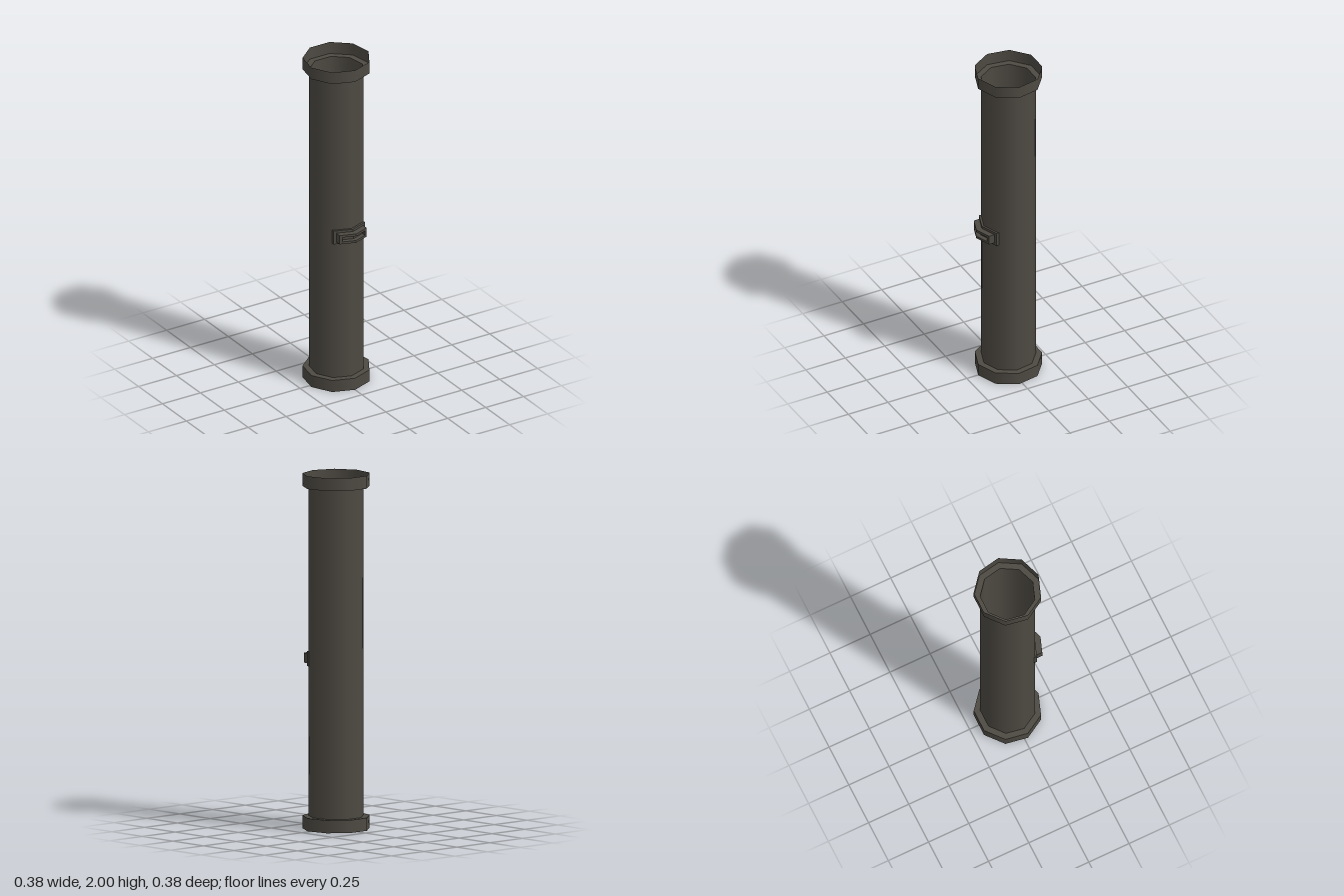
import * as THREE from 'three';

const SIDES = 9, CENTER_Z = -0.013;
const TUBE_R = 0.155, COLLAR_R = 0.191, COLLAR_H = 0.072;
const SLOPE = Math.tan(Math.PI / 9);

export function createModel() {
  const group = new THREE.Group();
  const metal = new THREE.MeshStandardMaterial({ color: 0x4e4a43, side: THREE.DoubleSide });
  metal.name = 'dark grey metal';

  const add = (name, geometry, y = 0, z = 0) => {
    const mesh = new THREE.Mesh(geometry, metal);
    mesh.name = name;
    mesh.position.set(0, y, z);
    group.add(mesh);
  };

  // Open nine-sided wall with smooth normals and a corner at the front
  const wall = (r, h) => new THREE.CylinderGeometry(r, r, h, SIDES, 1, true);

  add('tube', wall(TUBE_R, 2 - 2 * COLLAR_H), 1, CENTER_Z);

  // Collars: a flange stepping out from the tube and an open rim
  for (const [name, rimY, flangeY, turn] of [
    ['bottom', COLLAR_H / 2, COLLAR_H, 1],
    ['top', 2 - COLLAR_H / 2, 2 - COLLAR_H, -1],
  ]) {
    add(name + 'Rim', wall(COLLAR_R, COLLAR_H), rimY, CENTER_Z);
    const flange = new THREE.RingGeometry(TUBE_R, COLLAR_R, SIDES, 1, -turn * Math.PI / 2);
    flange.rotateX(-turn * Math.PI / 2);
    add(name + 'Flange', flange, flangeY, CENTER_Z);
  }

  // Bar bent around the front corner; zBack and zFront are its depths at x = 0
  const bentBar = (name, xs, y0, y1, zBack, zFront) => {
    const edge = (z) => xs.map((x) => new THREE.Vector2(x, -(z - Math.abs(x) * SLOPE)));
    const shape = new THREE.Shape([...edge(zFront), ...edge(zBack).reverse()]);
    const geometry = new THREE.ExtrudeGeometry(shape, { depth: y1 - y0, bevelEnabled: false });
    geometry.rotateX(-Math.PI / 2);
    add(name, geometry, y0);
  };

  // Handle plate, recessed panel and the raised frame around it
  bentBar('handlePlate', [-0.103, 0, 0.103], 0.912, 0.995, 0.135, 0.155);
  bentBar('handlePanel', [-0.074, 0, 0.074], 0.94, 0.967, 0.15, 0.163);
  bentBar('handleLowerBar', [-0.089, 0, 0.089], 0.926, 0.94, 0.15, 0.19);
  bentBar('handleUpperBar', [-0.089, 0, 0.089], 0.967, 0.981, 0.15, 0.19);
  bentBar('handleRightEnd', [-0.089, -0.074], 0.94, 0.967, 0.15, 0.19);
  bentBar('handleLeftEnd', [0.074, 0.089], 0.94, 0.967, 0.15, 0.19);

  return group;
}
